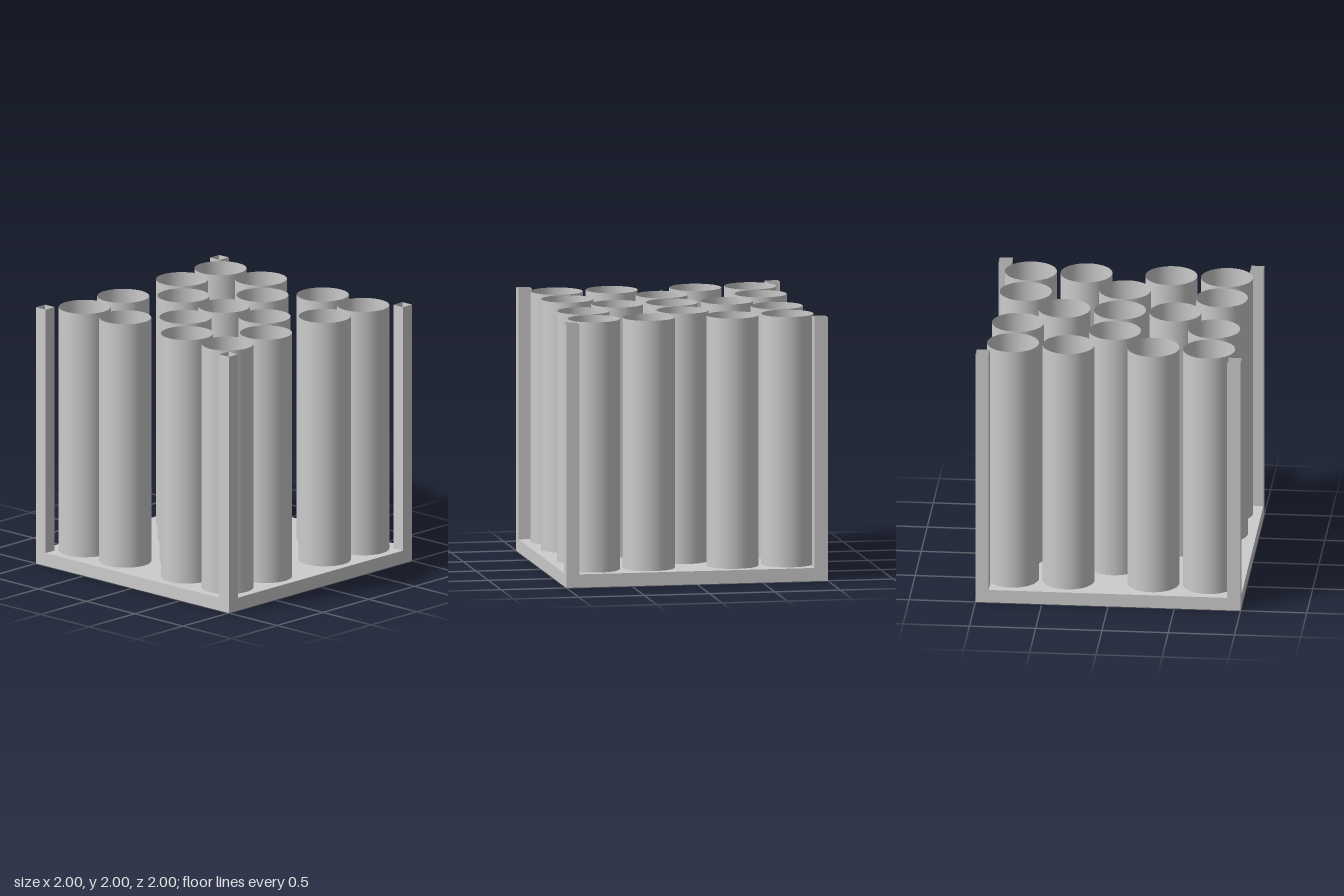
import * as THREE from 'three';

export function createModel() {
  const group = new THREE.Group();
  const grey = new THREE.MeshStandardMaterial({ color: 0xcccccc, side: THREE.DoubleSide });
  grey.name = 'light grey';

  const floorTop = 0.1, height = 2, postSize = 0.1;
  const holeRadius = 0.165, tubeRadius = 0.196;

  const add = (name, geometry, x = 0, y = 0, z = 0) => {
    const mesh = new THREE.Mesh(geometry, grey);
    mesh.name = name;
    mesh.position.set(x, y, z);
    group.add(mesh);
    return mesh;
  };

  // Tube centres: corner clusters, side pairs and a central cross
  const centres = [[0, 0], [0, 0.42], [0, -0.42], [0.42, 0], [-0.42, 0]];
  for (const sx of [-1, 1]) for (const sz of [-1, 1]) {
    for (const [x, z] of [[0.74, 0.74], [0.32, 0.74], [0.74, 0.32]]) centres.push([sx * x, sz * z]);
  }

  // Square base plate with a drain hole under each tube
  const plate = new THREE.Shape([[-1, -1], [1, -1], [1, 1], [-1, 1]].map(([x, y]) => new THREE.Vector2(x, y)));
  for (const [x, z] of centres) {
    const hole = new THREE.Path();
    hole.absarc(x, -z, holeRadius, 0, Math.PI * 2, true);
    plate.holes.push(hole);
  }
  const base = new THREE.ExtrudeGeometry(plate, { depth: floorTop, bevelEnabled: false, curveSegments: 20 });
  base.rotateX(-Math.PI / 2);
  add('basePlate', base);

  // Thin open tubes standing on the plate
  const wall = height - floorTop, middle = (height + floorTop) / 2;
  const tube = new THREE.CylinderGeometry(tubeRadius, tubeRadius, wall, 40, 1, true);
  for (const [x, z] of centres) add('tube', tube, x, middle, z);

  // Hollow square corner posts, open at the top
  const post = new THREE.CylinderGeometry(postSize / Math.SQRT2, postSize / Math.SQRT2, wall, 4, 1, true)
    .rotateY(Math.PI / 4).toNonIndexed();
  post.computeVertexNormals();
  const edge = 1 - postSize / 2;
  for (const sx of [-1, 1]) for (const sz of [-1, 1]) add('cornerPost', post, sx * edge, middle, sz * edge);

  return group;
}
